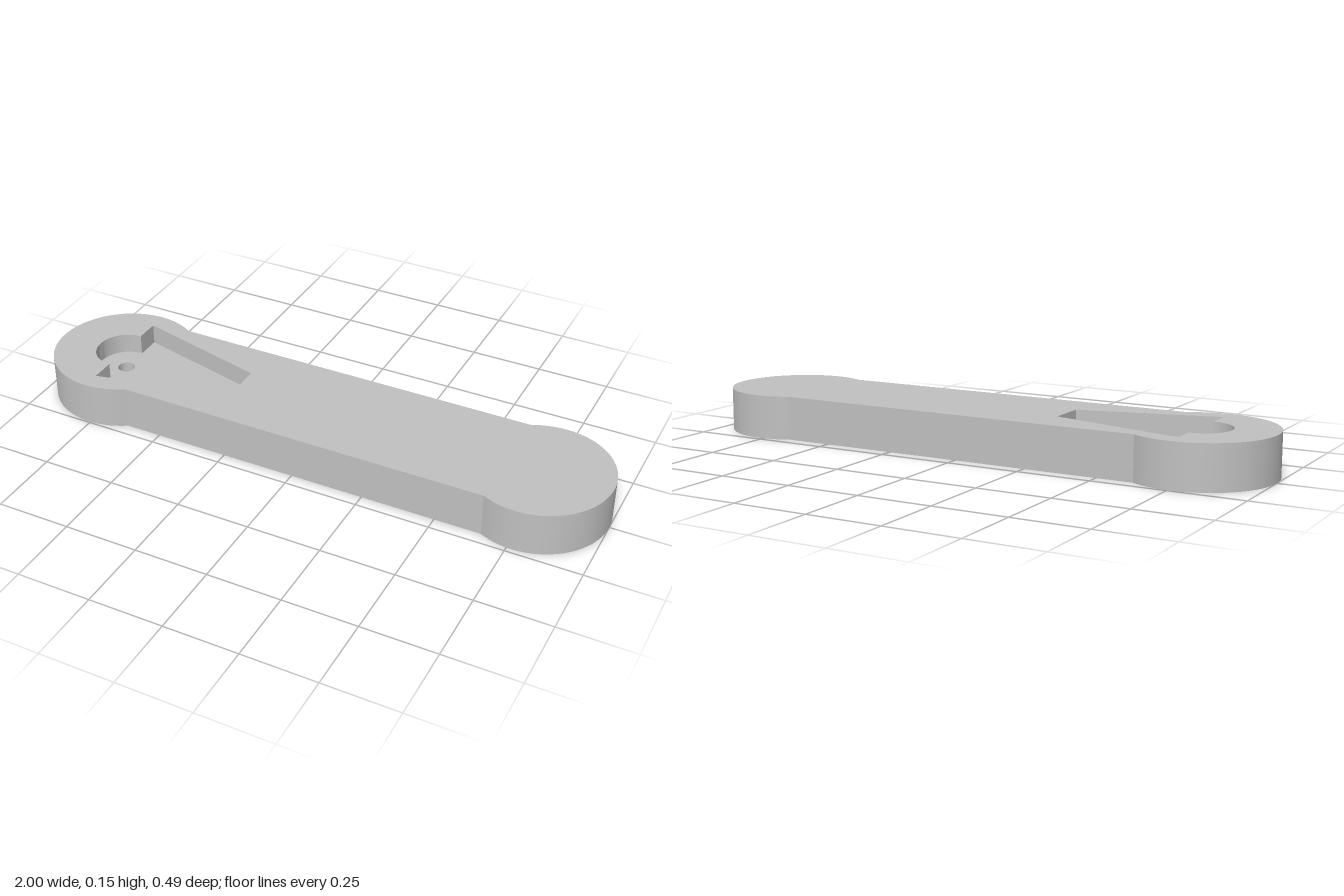
import * as THREE from 'three';
import { mergeGeometries, toCreasedNormals } from 'three/addons/utils/BufferGeometryUtils.js';

const HEIGHT = 0.148, FLOOR = 0.078, BORE = 0.052;
const BAR = 0.207;                       // half width of the bar
const BIG = { x: -0.755, r: 0.245 };     // end with the pocket
const SMALL = { x: 0.766, r: 0.234 };    // plain end

// Points along an arc, counter-clockwise seen from above
function arc(cx, r, from, to, n) {
  return Array.from({ length: n + 1 }, (_, i) => {
    const a = from + (to - from) * i / n;
    return new THREE.Vector2(cx + r * Math.cos(a), r * Math.sin(a));
  });
}
const circle = (cx, r) => arc(cx, r, 0, Math.PI * 2, 40).slice(0, -1);

// Flat face at height y, facing up or down
function cap(points, y, up, hole) {
  const shape = new THREE.Shape(points);
  if (hole) shape.holes.push(new THREE.Path(hole));
  const g = new THREE.ShapeGeometry(shape).toNonIndexed();
  g.rotateX(up ? -Math.PI / 2 : Math.PI / 2).translate(0, y, 0);
  g.deleteAttribute('uv');
  return g;
}

// Vertical wall around a closed outline; inward for pockets and holes
function wall(points, y0, y1, inward) {
  const pts = inward ? [...points].reverse() : points;
  const pos = [];
  pts.forEach((a, i) => {
    const b = pts[(i + 1) % pts.length];
    pos.push(a.x, y0, -a.y, b.x, y0, -b.y, b.x, y1, -b.y);
    pos.push(a.x, y0, -a.y, b.x, y1, -b.y, a.x, y1, -a.y);
  });
  const g = new THREE.BufferGeometry();
  g.setAttribute('position', new THREE.Float32BufferAttribute(pos, 3));
  g.computeVertexNormals();
  return g;
}

export function createModel() {
  const group = new THREE.Group();
  group.name = 'leverArm';
  const grey = new THREE.MeshStandardMaterial({ color: 0xc0c0c0 });
  grey.name = 'grey';

  const add = (name, parts) => {
    const mesh = new THREE.Mesh(toCreasedNormals(mergeGeometries(parts), 0.3), grey);
    mesh.name = name;
    group.add(mesh);
  };

  // Outline: bar with a rounded lobe at each end
  const s = Math.PI - Math.asin(BAR / SMALL.r), b = Math.asin(BAR / BIG.r);
  const outline = [
    ...arc(SMALL.x, SMALL.r, -s, s, 64),
    ...arc(BIG.x, BIG.r, b, Math.PI * 2 - b, 64),
  ];
  // Pocket: half circle joined to a tapering slot
  const pocket = [
    ...arc(BIG.x, 0.1, Math.PI / 2, Math.PI * 1.5, 32),
    new THREE.Vector2(BIG.x, -0.182), new THREE.Vector2(-0.295, -0.067),
    new THREE.Vector2(-0.295, 0.067), new THREE.Vector2(BIG.x, 0.182),
  ];
  const pin = circle(BIG.x, 0.029), bore = circle(BIG.x, 0.06);

  add('armBody', [
    wall(outline, 0, HEIGHT, false),
    cap(outline, HEIGHT, true, pocket),
    cap(outline, 0, false, bore),
  ]);
  add('pocket', [wall(pocket, FLOOR, HEIGHT, true), cap(pocket, FLOOR, true, pin)]);
  add('pinHole', [wall(pin, BORE, FLOOR, true)]);
  add('counterbore', [wall(bore, 0, BORE, true), cap(bore, BORE, false, pin)]);
  return group;
}
